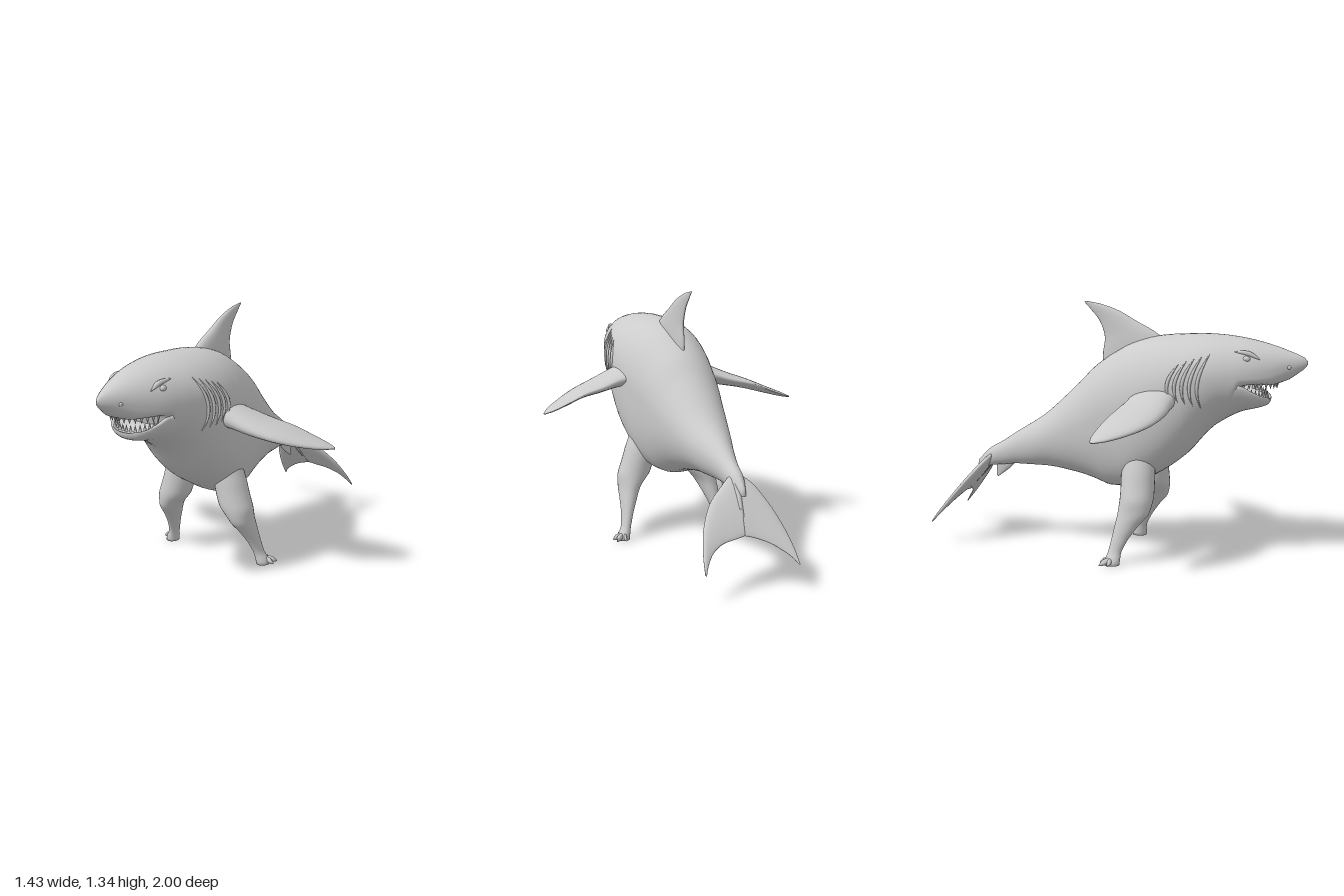
import * as THREE from 'three';

const grey = new THREE.MeshStandardMaterial({ color: 0xcccccc });
const V = (x, y, z) => new THREE.Vector3(x, y, z);

function part(name, geometry) {
  const m = new THREE.Mesh(geometry, grey);
  m.name = name;
  return m;
}

// Skin closed rings of points, cap both ends, and turn the faces outward.
function loft(rings) {
  const n = rings[0].length, pts = rings.flat(), idx = [];
  for (let i = 0; i < rings.length - 1; i++) {
    for (let j = 0; j < n; j++) {
      const a = i * n + j, b = i * n + (j + 1) % n;
      idx.push(a, b, a + n, b, b + n, a + n);
    }
  }
  [0, rings.length - 1].forEach((r, end) => {
    const c = pts.length;
    pts.push(rings[r].reduce((s, p) => s.add(p), V(0, 0, 0)).divideScalar(n));
    for (let j = 0; j < n; j++) {
      const a = r * n + j, b = r * n + (j + 1) % n;
      idx.push(...(end ? [a, b, c] : [b, a, c]));
    }
  });
  let volume = 0;
  for (let i = 0; i < idx.length; i += 3) {
    volume += pts[idx[i]].dot(V(0, 0, 0).crossVectors(pts[idx[i + 1]], pts[idx[i + 2]]));
  }
  if (volume < 0) idx.reverse();
  const g = new THREE.BufferGeometry().setFromPoints(pts);
  g.setIndex(idx);
  g.computeVertexNormals();
  return g;
}

// Smooth table lookup on the first column, without overshoot.
function sample(rows, t) {
  let i = 0;
  while (i < rows.length - 2 && t > rows[i + 1][0]) i++;
  const h = rows[i + 1][0] - rows[i][0], u = THREE.MathUtils.clamp((t - rows[i][0]) / h, 0, 1);
  const slope = (k, c) => (rows[k + 1][c] - rows[k][c]) / (rows[k + 1][0] - rows[k][0]);
  const tangent = (k, c) => {
    if (k === 0) return slope(0, c);
    if (k === rows.length - 1) return slope(k - 1, c);
    const a = slope(k - 1, c), b = slope(k, c);
    return a * b > 0 ? 2 * a * b / (a + b) : 0;
  };
  return rows[0].map((_, c) => {
    const p = rows[i][c], q = rows[i + 1][c];
    return p + (q - p) * u * u * (3 - 2 * u) + h * u * (1 - u) * ((1 - u) * tangent(i, c) - u * tangent(i + 1, c));
  });
}

// Body stations: z, top, widest height, bottom, half width, squareness below
const BODY = [
  [-0.79, 0.45, 0.42, 0.39, 0.012, 2], [-0.72, 0.52, 0.47, 0.42, 0.035, 2],
  [-0.65, 0.56, 0.5, 0.43, 0.045, 2], [-0.55, 0.625, 0.54, 0.44, 0.07, 2],
  [-0.4, 0.72, 0.59, 0.44, 0.12, 2], [-0.2, 0.9, 0.67, 0.415, 0.175, 2.2],
  [-0.1, 1.0, 0.72, 0.39, 0.2, 2.4], [0, 1.07, 0.77, 0.36, 0.22, 2.6],
  [0.1, 1.125, 0.81, 0.365, 0.24, 2.8], [0.2, 1.155, 0.85, 0.415, 0.255, 2.8],
  [0.3, 1.17, 0.89, 0.475, 0.26, 2.7], [0.4, 1.175, 0.93, 0.555, 0.255, 2.4],
  [0.5, 1.177, 0.96, 0.67, 0.238, 2.1], [0.58, 1.173, 0.97, 0.74, 0.218, 2],
  [0.64, 1.166, 0.975, 0.78, 0.2, 2.2], [0.68, 1.16, 0.98, 0.92, 0.187, 3.5],
  [0.74, 1.148, 0.985, 0.93, 0.163, 4], [0.82, 1.127, 1.0, 0.928, 0.122, 3.5],
  [0.9, 1.1, 1.02, 0.95, 0.074, 2.5], [0.96, 1.076, 1.03, 0.99, 0.036, 2],
  [0.99, 1.06, 1.035, 1.015, 0.014, 2], [1, 1.045, 1.038, 1.03, 0.004, 2],
];

function bodyRing(z) {
  const [, top, mid, bot, w, n] = sample(BODY, z), ring = [];
  for (let j = 0; j < 56; j++) {
    const a = j / 56 * Math.PI * 2, c = Math.cos(a), s = Math.sin(a), e = s < 0 ? 2 / n : 1;
    ring.push(V(w * Math.sign(c) * Math.abs(c) ** e,
      mid + (s < 0 ? -(mid - bot) : top - mid) * Math.abs(s) ** e, z));
  }
  return ring;
}

// Point on the flank at a given height and z
function flank(side, y, z, lift = 0) {
  const [, top, mid, bot, w, n] = sample(BODY, z), e = y < mid ? n : 2;
  const u = Math.min(1, Math.abs(y - mid) / (y < mid ? mid - bot : top - mid));
  return V(side * (w * (1 - u ** e) ** (1 / e) + lift), y, z);
}

// Fin stations: leading edge point, trailing edge point, half thickness
function fin(name, stations, normal) {
  const lead = new THREE.CatmullRomCurve3(stations.map(s => V(...s[0])));
  const trail = new THREE.CatmullRomCurve3(stations.map(s => V(...s[1])));
  const thick = stations.map((s, i) => [i / (stations.length - 1), s[2]]);
  const rings = [];
  for (let i = 0; i <= 28; i++) {
    const t = i / 28, L = lead.getPoint(t), T = trail.getPoint(t), h = sample(thick, t)[1];
    rings.push(Array.from({ length: 24 }, (_, j) => {
      const a = j / 24 * Math.PI * 2, k = 0.5 - 0.5 * Math.cos(a);
      return L.clone().lerp(T, k).addScaledVector(normal, h * Math.sin(a) * (1.15 - 0.5 * k));
    }));
  }
  return part(name, loft(rings));
}

function tube(name, points, r) {
  const curve = new THREE.CatmullRomCurve3(points);
  const rings = Array.from({ length: 15 }, (_, i) => {
    const p = curve.getPoint(i / 14), d = curve.getTangent(i / 14);
    const a = V(1, 0, 0).cross(d).normalize(), b = a.clone().cross(d), w = r * (0.15 + Math.sin(i / 14 * Math.PI));
    return Array.from({ length: 8 }, (_, j) => p.clone()
      .addScaledVector(a, w * Math.cos(j * Math.PI / 4)).addScaledVector(b, w * Math.sin(j * Math.PI / 4)));
  });
  return part(name, loft(rings));
}

function ball(name, p, sx, sy, sz) {
  const m = part(name, new THREE.SphereGeometry(1, 16, 12));
  m.position.copy(p);
  m.scale.set(sx, sy, sz);
  return m;
}

export function createModel() {
  const g = new THREE.Group();
  g.name = 'walkingShark';
  g.add(part('body', loft(Array.from({ length: 121 }, (_, i) => bodyRing(-0.79 + 1.79 * i / 120)))));

  // Lower jaw: z, rim, bottom, half width, scoop depth
  const JAW = [[0.45, 0.86, 0.66, 0.17, 0.02], [0.52, 0.9, 0.695, 0.2, 0.03], [0.6, 0.93, 0.745, 0.195, 0.04],
    [0.68, 0.932, 0.785, 0.172, 0.07], [0.74, 0.9, 0.8, 0.142, 0.055], [0.79, 0.872, 0.815, 0.1, 0.025],
    [0.81, 0.865, 0.826, 0.066, 0.01], [0.818, 0.858, 0.84, 0.035, 0]];
  const jawRings = Array.from({ length: 41 }, (_, i) => {
    const [z, rim, bot, w, d] = sample(JAW, 0.45 + 0.368 * i / 40);
    return Array.from({ length: 48 }, (_, j) => {
      const a = j / 48 * Math.PI * 2, c = Math.cos(a), s = Math.sin(a);
      return s >= 0 ? V(w * c, rim - (rim - bot) * s, z) : V(w * c * 0.88, rim + d * s, z);
    });
  });
  g.add(part('lowerJaw', loft(jawRings)));

  // Teeth along both jaws
  const teeth = new THREE.Group();
  teeth.name = 'teeth';
  for (let i = -7; i <= 7; i++) {
    const a = i / 7 * 1.35, s = Math.sin(a), c = Math.cos(a);
    const up = part('upperTooth', new THREE.ConeGeometry(0.01, 0.034, 6));
    up.position.set(0.135 * s, 0.925, 0.69 + 0.16 * c);
    up.rotation.x = Math.PI;
    const low = part('lowerTooth', new THREE.ConeGeometry(0.009, 0.034, 6));
    low.position.set(0.122 * s, 0.875 + 0.035 * (1 - c), 0.69 + 0.11 * c);
    teeth.add(up, low);
  }
  g.add(teeth);

  g.add(fin('dorsalFin', [
    [[0, 1.1, 0.31], [0, 0.96, -0.07], 0.045], [[0, 1.175, 0.22], [0, 1.06, -0.07], 0.04],
    [[0, 1.235, 0.11], [0, 1.15, -0.06], 0.03], [[0, 1.285, 0.02], [0, 1.235, -0.09], 0.02],
    [[0, 1.32, -0.08], [0, 1.29, -0.135], 0.011], [[0, 1.335, -0.165], [0, 1.33, -0.172], 0.003],
  ], V(1, 0, 0)));
  g.add(fin('analFin', [
    [[0.01, 0.47, -0.56], [0.01, 0.47, -0.67], 0.015], [[0.015, 0.42, -0.6], [0.015, 0.42, -0.69], 0.012],
    [[0.02, 0.355, -0.685], [0.02, 0.36, -0.695], 0.003],
  ], V(1, 0, 0)));

  // Tail flukes lie in a plane sloping down and back
  const onTail = (x, z) => [x, 0.49 + 1.22 * (z + 0.7) + 0.25 * (z + 0.7) * (-1 - z), z];
  const fluke = (name, rows) => g.add(fin(name,
    rows.map(([a, b, c, d, h]) => [onTail(a, b), onTail(c, d), h]), V(0, 0.63, -0.77)));
  fluke('leftFluke', [[-0.01, -0.67, 0.04, -0.893, 0.026], [0.085, -0.725, 0.095, -0.9, 0.022],
    [0.17, -0.78, 0.155, -0.908, 0.018], [0.235, -0.855, 0.215, -0.93, 0.013],
    [0.27, -0.93, 0.255, -0.962, 0.009], [0.287, -0.99, 0.281, -0.995, 0.003]]);
  fluke('rightFluke', [[0.03, -0.67, 0.045, -0.893, 0.026], [-0.06, -0.715, -0.01, -0.905, 0.022],
    [-0.12, -0.79, -0.07, -0.925, 0.018], [-0.16, -0.87, -0.12, -0.95, 0.013],
    [-0.182, -0.94, -0.16, -0.975, 0.009], [-0.19, -0.998, -0.185, -1, 0.003]]);

  for (const s of [1, -1]) {
    const side = s > 0 ? 'left' : 'right';

    g.add(fin(side + 'PectoralFin', [
      [[s * 0.17, 0.875, 0.4], [s * 0.17, 0.865, 0.13], 0.07], [[s * 0.27, 0.845, 0.37], [s * 0.27, 0.85, 0.135], 0.055],
      [[s * 0.38, 0.81, 0.355], [s * 0.38, 0.82, 0.11], 0.042], [[s * 0.5, 0.775, 0.315], [s * 0.49, 0.795, 0.09], 0.03],
      [[s * 0.6, 0.745, 0.24], [s * 0.58, 0.76, 0.07], 0.021], [[s * 0.68, 0.722, 0.15], [s * 0.66, 0.73, 0.06], 0.013],
      [[s * 0.716, 0.712, 0.085], [s * 0.708, 0.714, 0.068], 0.004],
    ], V(s * 0.28, 0.96, 0)));

    // Leg stations: y, x, z, half width, half depth
    const LEG = [[0, 0.298, 0.06, 0.034, 0.04], [0.02, 0.295, 0.062, 0.034, 0.04], [0.06, 0.28, 0.07, 0.026, 0.035],
      [0.12, 0.265, 0.09, 0.03, 0.042], [0.2, 0.245, 0.125, 0.044, 0.062], [0.27, 0.226, 0.158, 0.06, 0.083],
      [0.35, 0.192, 0.167, 0.088, 0.088], [0.45, 0.162, 0.165, 0.086, 0.088], [0.56, 0.14, 0.165, 0.07, 0.08]];
    g.add(part(side + 'Leg', loft(Array.from({ length: 37 }, (_, i) => {
      const [y, x, z, rx, rz] = sample(LEG, 0.56 * i / 36);
      return Array.from({ length: 28 }, (_, j) => {
        const a = j / 28 * Math.PI * 2;
        return V(s * (x + rx * Math.cos(a)), y, z + rz * Math.sin(a));
      });
    }))));

    // Toes spread outward and back
    for (const [x, z] of [[0.298, -0.003], [0.352, 0.006], [0.357, 0.05]]) {
      g.add(fin(side + 'Toe', [
        [[s * 0.28, 0.022, 0.06], [s * 0.31, 0.022, 0.07], 0.02],
        [[s * (x * 0.6 + 0.115), 0.018, z * 0.6 + 0.014], [s * (x * 0.6 + 0.13), 0.018, z * 0.6 + 0.034], 0.017],
        [[s * x, 0.008, z], [s * x, 0.008, z + 0.006], 0.005],
      ], V(0, 1, 0)));
    }

    // Gill slits, brow, eye and nostril follow the head
    for (let i = 0; i < 5; i++) {
      const pts = Array.from({ length: 7 }, (_, k) => {
        const u = k / 6;
        return flank(s, 1.09 - 0.012 * i - u * (0.27 - 0.022 * i), 0.535 - 0.037 * i - 0.055 * Math.sin(u * 2.4), 0.001);
      });
      g.add(tube(side + 'Gill', pts, 0.008));
    }
    g.add(tube(side + 'Brow', [flank(s, 1.062, 0.775), flank(s, 1.09, 0.72), flank(s, 1.1, 0.65)], 0.011));
    g.add(ball(side + 'Eye', flank(s, 1.065, 0.71, -0.006), 0.014, 0.015, 0.02));
    g.add(ball(side + 'Nostril', flank(s, 1.02, 0.91, -0.003), 0.007, 0.01, 0.014));
  }
  return g;
}
